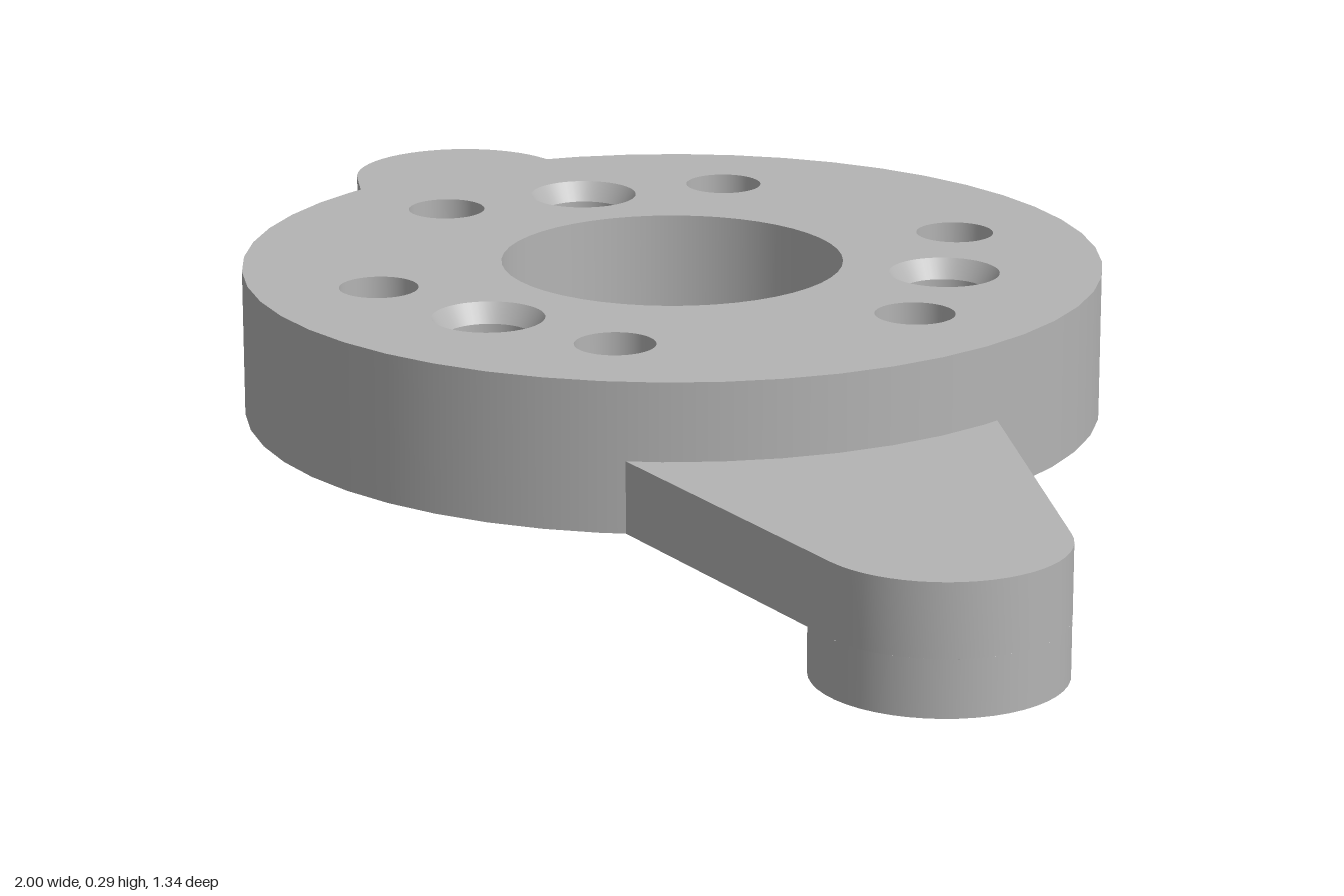
import * as THREE from 'three';
import { mergeGeometries, toCreasedNormals } from 'three/addons/utils/BufferGeometryUtils.js';

const SEG = 48;
const BOTTOM = 0.085, TOP = 0.292, FLOOR = 0.155, SINK = 0.265;
const DISC_R = 0.603, BORE_R = 0.24, HOLE_R = 0.055, POCKET_R = 0.06, SINK_R = 0.077;
const TWIST = 0.024; // small turn of the hole pattern

// Turned surface, one lathe per profile segment so that edges stay sharp
function turned(profile, x = 0, z = 0) {
  const parts = [];
  for (let i = 0; i + 1 < profile.length; i++) {
    const pts = [profile[i], profile[i + 1]].map(([r, y]) => new THREE.Vector2(r, y));
    parts.push(new THREE.LatheGeometry(pts, SEG));
  }
  return mergeGeometries(parts).translate(x, 0, z);
}

// Points evenly spaced on a circle, as [x, z]
function ring(count, radius, start) {
  return Array.from({ length: count }, (_, i) => {
    const a = start + (i / count) * Math.PI * 2;
    return [Math.cos(a) * radius, Math.sin(a) * radius];
  });
}

// Flat round plate with circular openings [x, z, r]; side is 1 for up, -1 for down
function plate(y, side, openings) {
  const shape = new THREE.Shape().absarc(0, 0, DISC_R, 0, Math.PI * 2, false);
  for (const [x, z, r] of openings) {
    shape.holes.push(new THREE.Path().absarc(x, -side * z, r, 0, Math.PI * 2, true));
  }
  return new THREE.ShapeGeometry(shape, SEG / 2).rotateX(-side * Math.PI / 2).translate(0, y, 0);
}

export function createModel() {
  const grey = new THREE.MeshStandardMaterial({ color: 0xb4b4b4 });
  grey.name = 'grey';
  const model = new THREE.Group();
  model.name = 'discWithArms';
  const add = (parent, name, geometry) => {
    const mesh = new THREE.Mesh(geometry, grey);
    mesh.name = name;
    parent.add(mesh);
  };

  // Disc: rim, faces, central recess
  const holes = ring(6, 0.43, TWIST);
  const pockets = ring(3, 0.385, Math.PI / 2 + TWIST);
  const through = holes.map(([x, z]) => [x, z, HOLE_R]);
  const sunk = pockets.map(([x, z]) => [x, z, SINK_R]);
  const disc = new THREE.Group();
  disc.name = 'disc';
  model.add(disc);
  add(disc, 'rim', turned([[DISC_R, BOTTOM], [DISC_R, TOP]]));
  add(disc, 'topFace', plate(TOP, 1, [[0, 0, BORE_R], ...through, ...sunk]));
  add(disc, 'bottomFace', plate(BOTTOM, -1, through));
  add(disc, 'centralRecess', turned([[BORE_R, TOP], [BORE_R, FLOOR], [0, FLOOR]]));

  // Through holes and countersunk blind pockets
  for (const [x, z] of holes) {
    add(disc, 'throughHole', turned([[HOLE_R, TOP], [HOLE_R, BOTTOM]], x, z));
  }
  for (const [x, z] of pockets) {
    add(disc, 'pocket', turned(
      [[SINK_R, TOP], [POCKET_R, SINK], [POCKET_R, FLOOR], [0, FLOOR]], x, z));
  }

  // Two opposite tapered arms, each with a round foot drilled from below
  const fx = 0.835, fz = 0.507, footR = 0.165, drillR = 0.047;
  const outline = new THREE.Shape();
  outline.moveTo(0.28, 0.488);
  outline.lineTo(0.55, 0.007);
  outline.absarc(fx, fz, footR, -0.81, 1.903, false);
  outline.closePath();
  for (const [name, turn, top, base] of [['leftArm', 0, 0.184, 0.008], ['rightArm', Math.PI, 0.179, 0]]) {
    const arm = new THREE.Group();
    arm.name = name;
    arm.rotation.y = turn;
    model.add(arm);
    const beam = new THREE.ExtrudeGeometry(outline,
      { depth: top - BOTTOM, bevelEnabled: false, curveSegments: 12 });
    beam.rotateX(Math.PI / 2).translate(0, top, 0);
    add(arm, 'beam', toCreasedNormals(beam, 0.5));
    const ceiling = BOTTOM - 0.001;
    add(arm, 'foot', turned(
      [[0, ceiling], [drillR, ceiling], [drillR, base], [footR, base], [footR, BOTTOM]], fx, fz));
  }
  return model;
}
